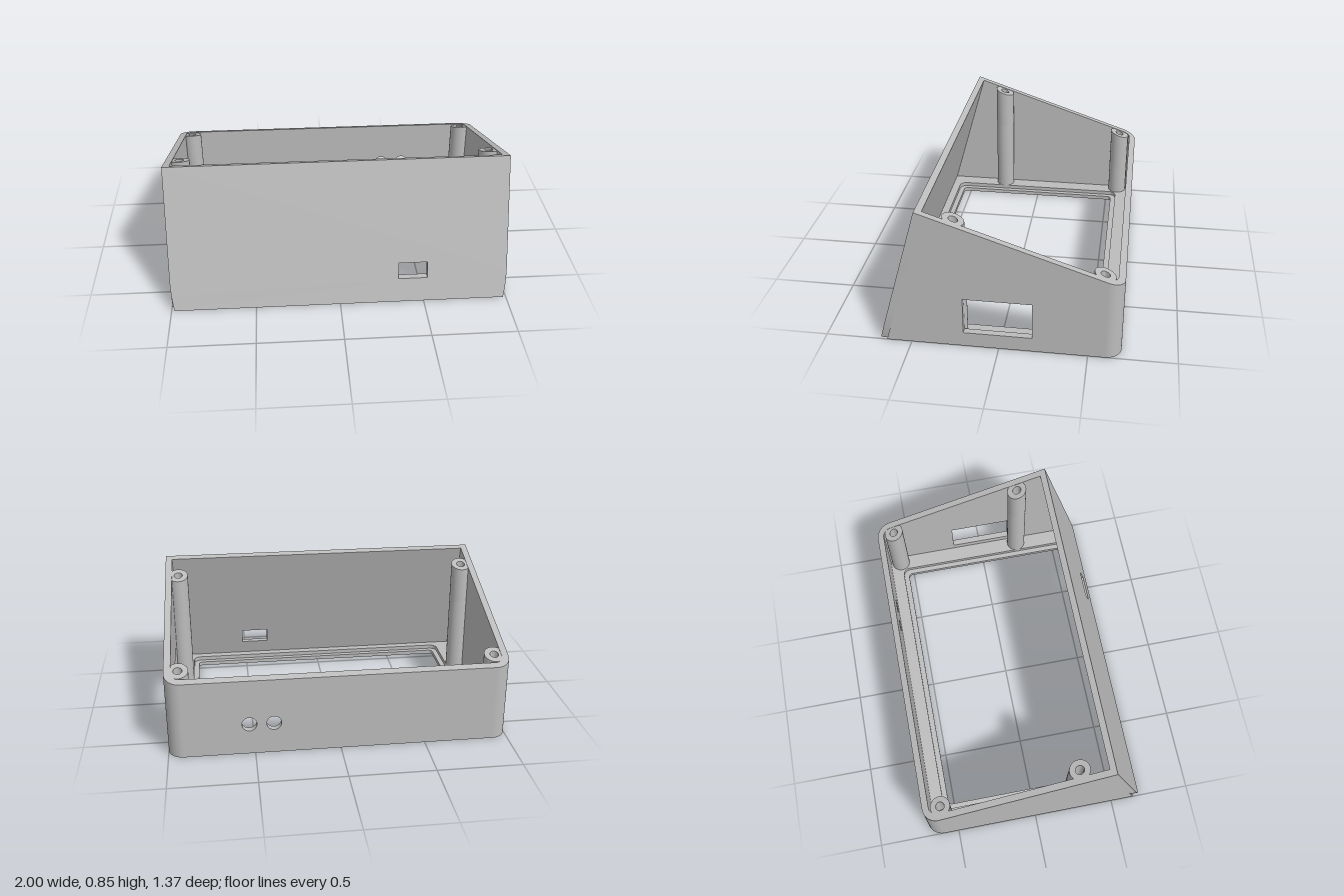
import * as THREE from 'three';
import { toCreasedNormals } from 'three/addons/utils/BufferGeometryUtils.js';

const WALL = 0.04, R = 0.09, BACK = -0.685, FRONT = 0.685, HEIGHT = 0.845;
const LEAN = 0.284;                                        // backward lean of the front wall
const topY = (z) => HEIGHT + (z - 0.445) * 0.3363;         // sloping rim plane
const frontZ = (y, d) => FRONT - LEAN * y - d;             // front wall, d behind its outer face

const polygon = (pts) => new THREE.Shape(pts.map(([x, y]) => new THREE.Vector2(x, y)));

const rect = (x0, y0, x1, y1) => polygon([[x0, y0], [x1, y0], [x1, y1], [x0, y1]]);

function circle(x, y, r) {
  const s = new THREE.Shape();
  s.absarc(x, y, r, 0, Math.PI * 2, false);
  return s;
}

function roundedRect(x0, y0, x1, y1, r) {
  const s = new THREE.Shape();
  s.absarc(x0 + r, y0 + r, r, Math.PI, Math.PI * 1.5, false);
  s.absarc(x1 - r, y0 + r, r, -Math.PI / 2, 0, false);
  s.absarc(x1 - r, y1 - r, r, 0, Math.PI / 2, false);
  s.absarc(x0 + r, y1 - r, r, Math.PI / 2, Math.PI, false);
  return s;
}

const extrude = (shape, depth) =>
  new THREE.ExtrudeGeometry(shape, { depth, bevelEnabled: false, curveSegments: 16 });

// Extrude a plan drawn in (x, z) from y0 up to y1
const extrudeUp = (shape, y0, y1) =>
  extrude(shape, y1 - y0).rotateX(Math.PI / 2).translate(0, y1, 0);

// Move every vertex by a rule
function reshape(geo, rule) {
  const p = geo.attributes.position, v = new THREE.Vector3();
  for (let i = 0; i < p.count; i++) {
    rule(v.fromBufferAttribute(p, i));
    p.setXYZ(i, v.x, v.y, v.z);
  }
  return geo;
}

// Trim vertices above a height to the sloping rim plane
const slopeTop = (geo, above, drop = 0) =>
  reshape(geo, (v) => { if (v.y > above) v.y = topY(v.z) - drop; });

export function createModel() {
  const model = new THREE.Group();
  model.name = 'slopedEnclosure';
  const grey = new THREE.MeshStandardMaterial({ color: 0xbcbcbc });
  grey.name = 'grey';

  const add = (name, geo) => {
    const mesh = new THREE.Mesh(toCreasedNormals(geo, 0.6), grey);
    mesh.name = name;
    model.add(mesh);
  };

  // Leaning front wall with a small slot and eased lower corners
  const front = new THREE.Shape();
  front.moveTo(-0.983, 0);
  front.lineTo(0.983, 0);
  front.quadraticCurveTo(0.998, 0.08, 1, 0.17);
  front.lineTo(1, HEIGHT);
  front.lineTo(-1, HEIGHT);
  front.lineTo(-1, 0.17);
  front.quadraticCurveTo(-0.998, 0.08, -0.983, 0);
  front.holes.push(rect(0.35, 0.14, 0.522, 0.235));
  add('frontWall', reshape(extrude(front, WALL), (v) => {
    const d = WALL - v.z;
    v.y = Math.min(v.y, HEIGHT - 0.307 * d);
    v.z = frontZ(v.y, d);
  }));

  // Side walls, one with a rectangular window
  const cornerZ = BACK + R, innerTop = HEIGHT - 0.307 * WALL;
  for (const side of [1, -1]) {
    const wall = polygon([
      [cornerZ, 0], [frontZ(0, WALL), 0],
      [frontZ(innerTop, WALL), innerTop], [cornerZ, topY(cornerZ)],
    ]);
    if (side > 0) wall.holes.push(rect(-0.188, 0.09, 0.2, 0.315));
    add(side > 0 ? 'windowSideWall' : 'plainSideWall',
      extrude(wall, WALL).rotateY(-Math.PI / 2).translate(side > 0 ? 1 : -1 + WALL, 0, 0));

    // Rounded back corner
    const a0 = side > 0 ? -Math.PI / 2 : Math.PI, a1 = a0 + Math.PI / 2;
    const corner = new THREE.Shape();
    corner.absarc(side * (1 - R), cornerZ, R, a0, a1, false);
    corner.absarc(side * (1 - R), cornerZ, R - WALL, a1, a0, true);
    add('backCorner', slopeTop(extrudeUp(corner, 0, 0.5), 0.4));
  }

  // Back wall with two round cable holes
  const back = rect(-1 + R, 0, 1 - R, 0.5);
  for (const x of [0.388, 0.53]) back.holes.push(circle(x, 0.19, 0.043));
  add('backWall', slopeTop(extrude(back, WALL).translate(0, 0, BACK), 0.4));

  // Floor frame: a lip below and a wider recess above
  const inX = 1 - WALL, inBack = BACK + WALL, inFront = FRONT - WALL;
  const layers = [
    ['floorLip', 0, 0.025, roundedRect(-0.83, -0.535, 0.83, 0.547, 0.025)],
    ['floorRecess', 0.025, 0.05, roundedRect(-0.862, -0.568, 0.862, 0.58, 0.045)],
  ];
  for (const [name, y0, y1, opening] of layers) {
    const r = R - WALL, plan = new THREE.Shape();
    plan.absarc(-inX + r, inBack + r, r, Math.PI, Math.PI * 1.5, false);
    plan.absarc(inX - r, inBack + r, r, -Math.PI / 2, 0, false);
    plan.lineTo(inX, inFront);
    plan.lineTo(-inX, inFront);
    plan.holes.push(opening);
    add(name, extrudeUp(plan, y0, y1));
  }

  // Screw posts: solid below, blind screw hole above
  for (const x of [-0.92, 0.92]) {
    for (const z of [-0.575, 0.25]) {
      const split = topY(z) - 0.25;
      add('screwPost', extrudeUp(circle(x, z, 0.06), 0.03, split));
      const ring = circle(x, z, 0.06);
      ring.holes.push(circle(x, z, 0.026));
      add('screwSocket', slopeTop(extrudeUp(ring, split, split + 0.25), split + 0.1, 0.003));
    }
  }
  return model;
}
